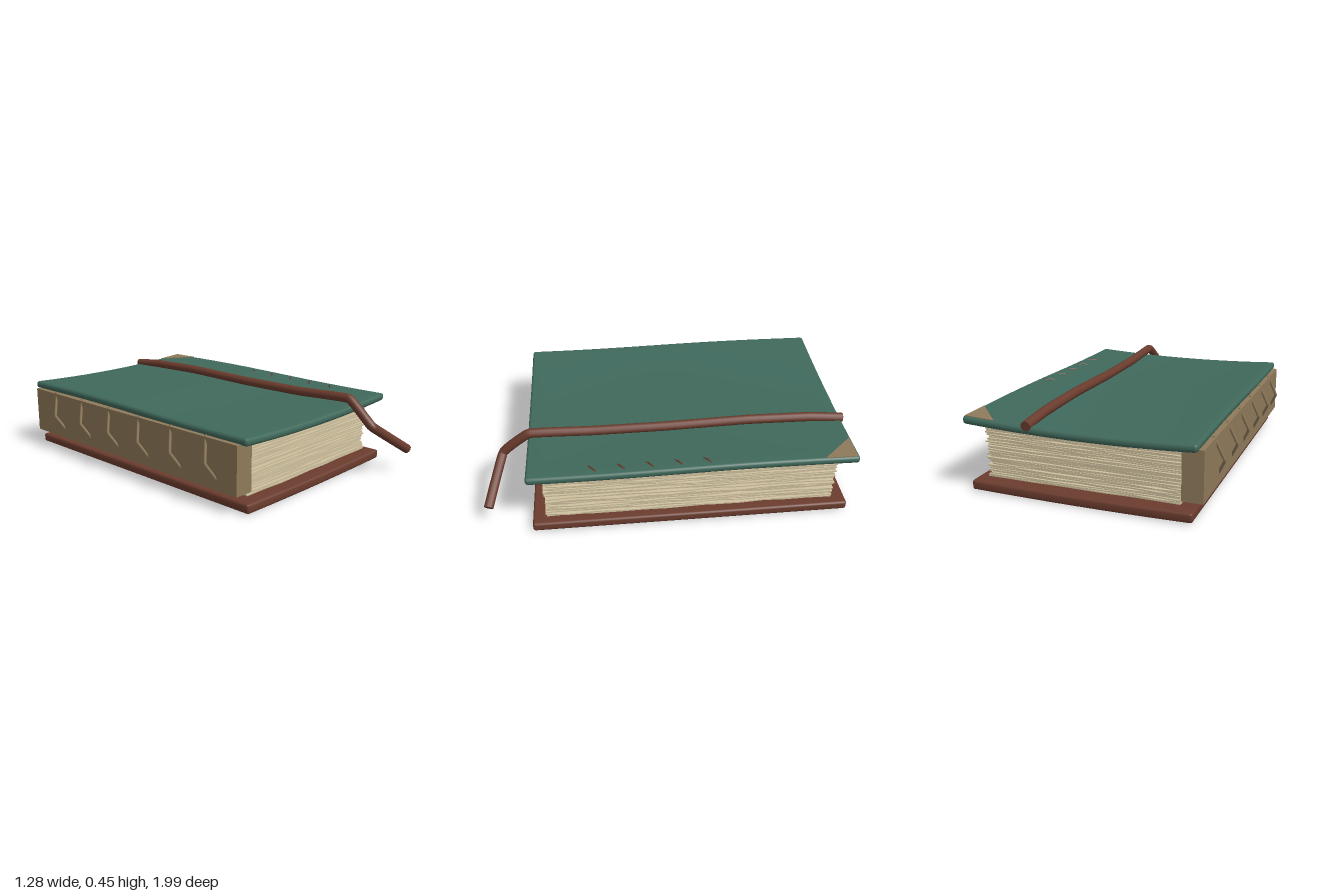
import * as THREE from 'three';
import { mergeGeometries, mergeVertices } from 'three/addons/utils/BufferGeometryUtils.js';

const material = (color, extra = {}) => new THREE.MeshStandardMaterial({ color, ...extra });
const V = (x, y, z) => new THREE.Vector3(x, y, z);

// Small seeded generator returning values in 0..1
function seeded(seed) {
  return () => {
    seed = (seed * 16807) % 2147483647;
    return seed / 2147483647;
  };
}

// Board with rounded edges, bent by a height rule warp(x, z)
function boardGeometry(x0, x1, z0, z1, yMid, h, r, warp) {
  const n = 24, size = [x1 - x0, h, z1 - z0], seg = [n, 4, n];
  const cx = (x0 + x1) / 2, cz = (z0 + z1) / 2;
  const geo = new THREE.BoxGeometry(...size, ...seg);
  const pos = geo.attributes.position;
  for (let i = 0; i < pos.count; i++) {
    const p = V().fromBufferAttribute(pos, i).toArray();
    const inner = p.map((v, k) => {
      const half = size[k] / 2;
      // pull the inner grid lines out to where the rounding starts
      const s = Math.abs(v) < half - 1e-5 ? v * (half - r) / (half - size[k] / seg[k]) : v;
      p[k] = s;
      return THREE.MathUtils.clamp(s, r - half, half - r);
    });
    const c = V(...inner);
    const q = V(...p).sub(c).setLength(r).add(c);
    q.x += cx;
    q.z += cz;
    q.y += yMid + warp(q.x, q.z);
    pos.setXYZ(i, q.x, q.y, q.z);
  }
  geo.deleteAttribute('uv');
  geo.deleteAttribute('normal');
  const smooth = mergeVertices(geo, 1e-5);
  smooth.computeVertexNormals();
  return smooth;
}

// Capped cord through a list of points with tight bends
function cordGeometry(points, radius, steps, sides, tension = 0.1) {
  const path = new THREE.CatmullRomCurve3(points, false, 'catmullrom', tension);
  const caps = [0, 1].map((t) => {
    const dir = path.getTangentAt(t).multiplyScalar(t ? 1 : -1);
    const cap = new THREE.CircleGeometry(radius, sides);
    cap.applyQuaternion(new THREE.Quaternion().setFromUnitVectors(V(0, 0, 1), dir));
    return cap.translate(...path.getPointAt(t).toArray());
  });
  return mergeGeometries([new THREE.TubeGeometry(path, steps, radius, sides), ...caps]);
}

// One sheet with a ragged outline on the three open sides
function sheetGeometry(y, thickness, rand) {
  const xL = -0.475, xR = 0.545 + 0.02 * rand();
  const zB = -0.89 - 0.014 * rand(), zF = 0.662 + 0.014 * rand();
  const w = xR - xL, d = zF - zB, nx = 8, nz = 12;
  const geo = new THREE.BoxGeometry(w, thickness, d, nx, 1, nz);
  const table = (n) => Array.from({ length: n + 1 }, () => (rand() - 0.5) * 0.012);
  const side = table(nz), front = table(nx), back = table(nx), sag = table(nz);
  const pos = geo.attributes.position;
  for (let i = 0; i < pos.count; i++) {
    const x = pos.getX(i), z = pos.getZ(i);
    const a = Math.round((x / w + 0.5) * nx), b = Math.round((z / d + 0.5) * nz);
    const dx = a === nx ? side[b] : 0;
    const dz = b === nz ? front[a] : b === 0 ? back[a] : 0;
    const dy = sag[b] * 0.12 * (a / nx);
    pos.setXYZ(i, x + (xL + xR) / 2 + dx, pos.getY(i) + y + dy, z + (zB + zF) / 2 + dz);
  }
  return geo;
}

export function createModel() {
  const book = new THREE.Group();
  book.name = 'book';
  const teal = material(0x40695c);
  const brown = material(0x6b3c2e);
  const tan = material(0x8f7a5a);
  const paper = material(0xcfc19f, { flatShading: true });
  const add = (name, geo, mat, parent = book) => {
    const mesh = new THREE.Mesh(geo, mat);
    mesh.name = name;
    parent.add(mesh);
    return mesh;
  };
  const addGroup = (name) => {
    const group = new THREE.Group();
    group.name = name;
    book.add(group);
    return group;
  };

  // Covers, both slightly dished; the top one also ripples along its length
  const topWarp = (x, z) => 0.019 * (x / 0.6) ** 2 - 0.005 * Math.sin(3.5 * z);
  const bottomWarp = (x) => 0.007 * (x / 0.6) ** 2;
  add('topCover', boardGeometry(-0.577, 0.635, -0.99, 0.75, 0.36, 0.042, 0.014, topWarp), teal);
  add('bottomCover', boardGeometry(-0.555, 0.615, -0.975, 0.745, 0.0255, 0.051, 0.012, bottomWarp), brown);

  // Stack of uneven sheets
  const rand = seeded(4711);
  const pages = addGroup('pages');
  const count = 32, pitch = 0.27 / count;
  for (let i = 0; i < count; i++) {
    const y = 0.058 + (i + 0.5) * pitch;
    add('page', sheetGeometry(y, pitch * (0.7 + 0.22 * rand()), rand), paper, pages);
  }

  // Spine block
  const spine = new THREE.BoxGeometry(0.107, 0.26, 1.66);
  add('spine', spine.translate(-0.5465, 0.23, -0.12), tan);

  // Bent stitches along the spine
  const stitches = addGroup('spineStitches');
  const stitch = cordGeometry(
    [V(-0.586, 0.365, -0.042), V(-0.634, 0.235, 0), V(-0.592, 0.15, 0.042)], 0.008, 24, 6, 0.05);
  for (let i = 0; i < 6; i++) {
    add('spineStitch', stitch, tan, stitches).position.z = -0.715 + 0.25 * i;
  }

  // Corner guard on the top cover
  const corner = [[0.462, -0.978], [0.625, -0.978], [0.625, -0.805]];
  const shape = new THREE.Shape(corner.map(([x, z]) => new THREE.Vector2(x, -z)));
  const guard = new THREE.ExtrudeGeometry(shape, { depth: 0.009, bevelEnabled: false });
  guard.rotateX(-Math.PI / 2);
  const gp = guard.attributes.position;
  for (let i = 0; i < gp.count; i++) {
    gp.setY(i, gp.getY(i) + 0.3745 + topWarp(gp.getX(i), gp.getZ(i)));
  }
  guard.computeVertexNormals();
  add('cornerGuard', guard, tan);

  // Short slanted stitches near the fore edge
  const marks = addGroup('coverStitches');
  for (let i = 0; i < 5; i++) {
    const z = -0.19 + 0.15 * i;
    const point = (x, dz, lift) => V(x, 0.38 + topWarp(x, z + dz) + lift, z + dz);
    const path = [point(0.548, 0.02, -0.003), point(0.574, 0, 0.003), point(0.6, -0.02, -0.003)];
    add('coverStitch', cordGeometry(path, 0.005, 8, 6, 0.5), brown, marks);
  }

  // Strap lying along the cover and hanging over the front edge
  const strap = [
    V(0.276, 0.388, -0.995), V(0.277, 0.408, -0.8), V(0.279, 0.417, -0.45), V(0.283, 0.41, 0),
    V(0.287, 0.413, 0.4), V(0.293, 0.426, 0.735), V(0.285, 0.3, 0.89), V(0.538, 0.132, 0.972),
  ];
  add('strap', cordGeometry(strap, 0.026, 120, 12, 0.12), brown);

  return book;
}
